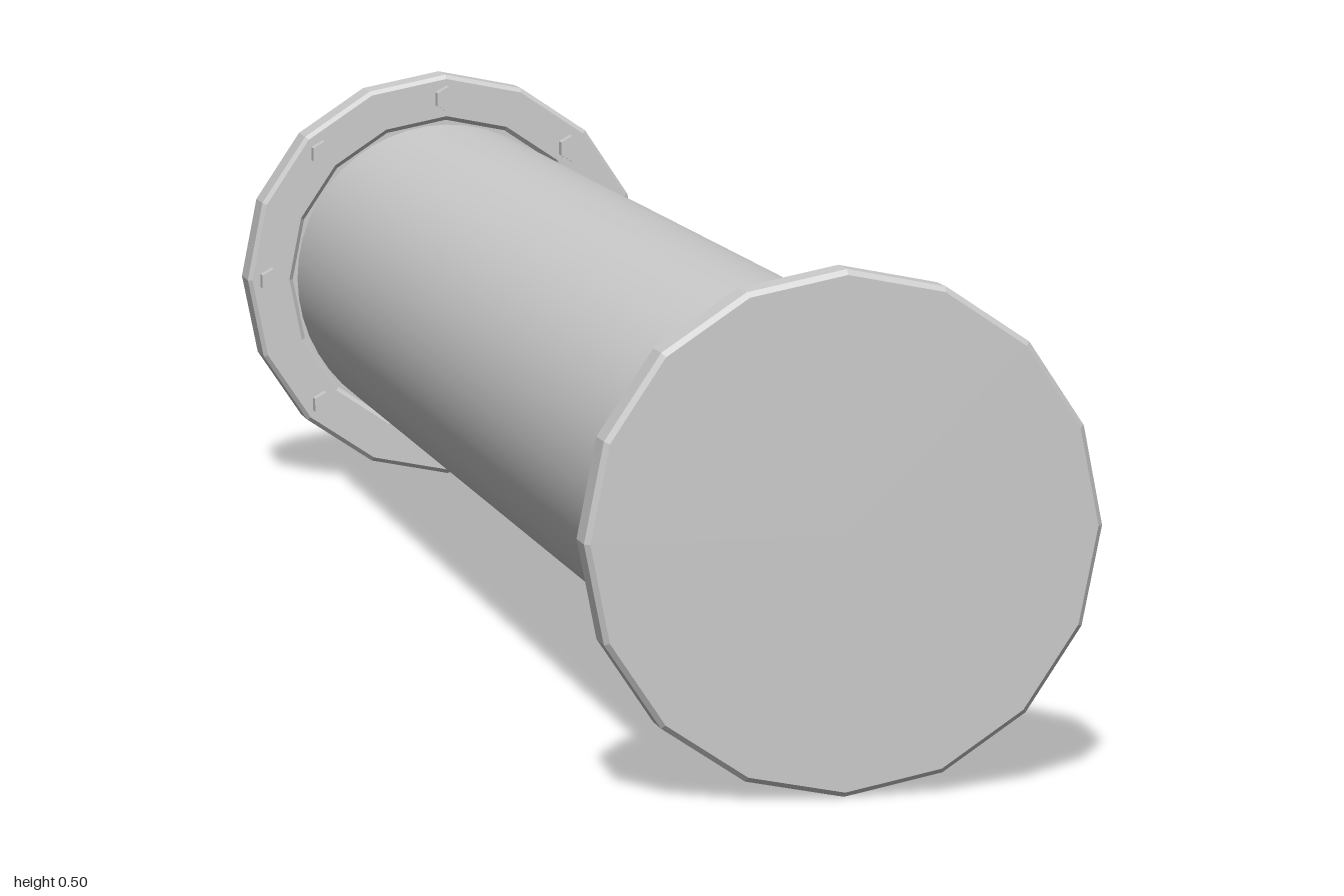
import * as THREE from 'three';

const RADIUS = 0.249, PIPE = 0.187, BOLT_RING = 0.22, BEVEL = 0.005;
const smooth = new THREE.MeshStandardMaterial({ color: 0xcccccc });
const faceted = new THREE.MeshStandardMaterial({ color: 0xcccccc, flatShading: true });

function addMesh(parent, name, geometry, material) {
  const mesh = new THREE.Mesh(geometry, material);
  mesh.name = name;
  parent.add(mesh);
  return mesh;
}

// Bevelled 16-sided end plate with eight bolts; its outer face points along +y
function makeFlange(name, thickness) {
  const flange = new THREE.Group();
  flange.name = name;
  const inner = 1 - thickness;
  const profile = [
    [PIPE - 0.012, inner + BEVEL], [PIPE + 0.006, inner + BEVEL], [PIPE + 0.011, inner],
    [RADIUS - BEVEL, inner], [RADIUS, inner + BEVEL],
    [RADIUS, 1 - BEVEL], [RADIUS - BEVEL, 1], [0, 1],
  ].map(([r, y]) => new THREE.Vector2(r, y));
  addMesh(flange, name + 'Plate', new THREE.LatheGeometry(profile, 16), faceted);

  // Hexagonal bolt heads on the inner face
  const head = new THREE.CylinderGeometry(0.016, 0.016, 0.022, 6);
  for (let i = 0; i < 8; i++) {
    const a = (i / 8) * Math.PI * 2;
    const bolt = addMesh(flange, name + 'Bolt', head, faceted);
    bolt.position.set(Math.sin(a) * BOLT_RING, inner - 0.004, Math.cos(a) * BOLT_RING);
  }
  return flange;
}

export function createModel() {
  const model = new THREE.Group();
  model.name = 'flangedPipe';

  // Long smooth pipe along z
  const pipe = addMesh(model, 'pipe', new THREE.CylinderGeometry(PIPE, PIPE, 1.94, 48, 1, true), smooth);
  pipe.rotation.x = Math.PI / 2;

  // Thinner plate in front, thicker plate at the back
  const front = makeFlange('frontFlange', 0.042);
  front.rotation.x = Math.PI / 2;
  const back = makeFlange('backFlange', 0.056);
  back.rotation.x = -Math.PI / 2;
  model.add(front, back);

  for (const part of model.children) part.position.y = RADIUS;
  return model;
}
